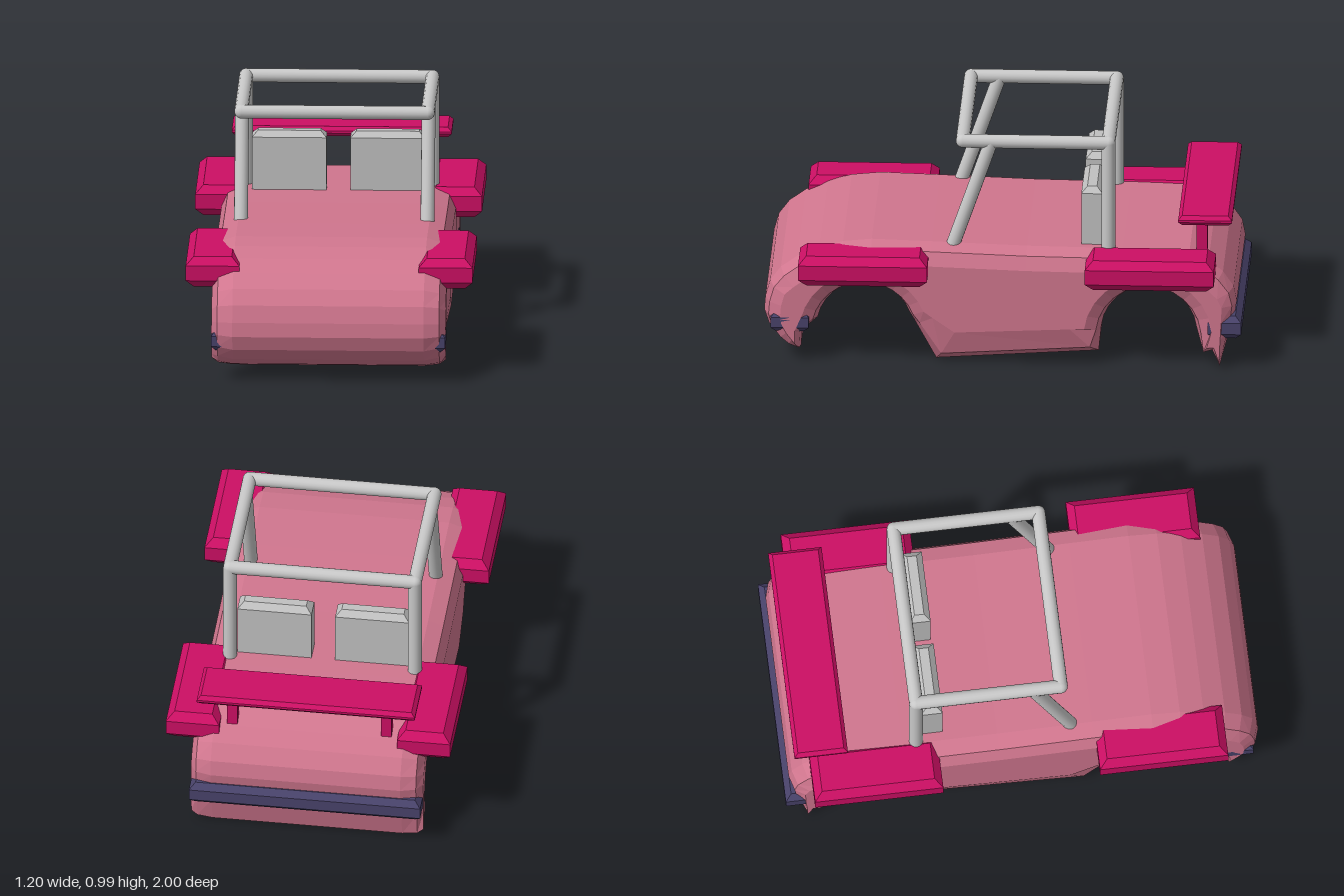
import * as THREE from 'three';

const mat = (name, color) => {
  const m = new THREE.MeshStandardMaterial({ color, flatShading: true });
  m.name = name;
  return m;
};

// Block with a 45 degree chamfer on its top and bottom rims
function chamferBox(x0, x1, y0, y1, z0, z1, b) {
  const s = new THREE.Shape();
  s.moveTo(x0 + b, -z1 + b);
  s.lineTo(x1 - b, -z1 + b);
  s.lineTo(x1 - b, -z0 - b);
  s.lineTo(x0 + b, -z0 - b);
  s.closePath();
  const g = new THREE.ExtrudeGeometry(s, {
    depth: y1 - y0 - 2 * b, bevelEnabled: true, bevelSegments: 1, bevelSize: b, bevelThickness: b,
  });
  return g.rotateX(-Math.PI / 2).translate(0, y0 + b, 0);
}

// Points of a wheel arch, from its rear end over the top to its front end
function arch(cz, cy, r, from, to, n = 12) {
  return Array.from({ length: n + 1 }, (_, i) => {
    const a = from + (to - from) * i / n;
    return [cz + r * Math.cos(a), cy + r * Math.sin(a), 0.07];
  });
}

// Side profile [z, y, inset of the flank] swept across x, rounded in two steps at the flanks
function bodyGeometry() {
  const profile = [
    [0.845, 0.053, 0.03], [0.9, 0.07, 0.04], [0.94, 0.1, 0.05], [0.98, 0.15, 0.06], [1, 0.21, 0.07],
    [0.995, 0.27, 0.07], [0.975, 0.34, 0.07], [0.93, 0.4, 0.08], [0.86, 0.45, 0.08],
    [0.77, 0.49, 0.08], [0.67, 0.518, 0.08], [0.55, 0.53, 0.08], [0.3, 0.523, 0.08],
    [-0.1, 0.51, 0.08], [-0.5, 0.505, 0.08], [-0.78, 0.498, 0.08], [-0.86, 0.46, 0.08],
    [-0.92, 0.41, 0.08], [-0.965, 0.345, 0.07], [-0.978, 0.28, 0.06], [-0.965, 0.2, 0.05],
    [-0.94, 0.12, 0.03], [-0.91, 0.005, 0.02], [-0.875, 0.075, 0.02], [-0.835, 0.06, 0.03],
    ...arch(-0.61, 0.14, 0.2, Math.PI - 0.1, 0.1),
    [-0.4, 0.05, 0.13], [0.28, 0.005, 0.14], [0.37, 0.17, 0.09],
    ...arch(0.58, 0.14, 0.2, Math.PI - 0.35, 0.2), [0.84, 0.13, 0.03],
  ];
  const n = profile.length;
  const normal = (p, q) => {
    const l = Math.hypot(q[0] - p[0], q[1] - p[1]);
    return [-(q[1] - p[1]) / l, (q[0] - p[0]) / l];
  };
  const inward = profile.map((p, i) => {
    const a = normal(profile[(i + n - 1) % n], p), b = normal(p, profile[(i + 1) % n]);
    const s = [a[0] + b[0], a[1] + b[1]], l = Math.hypot(...s) || 1;
    const k = p[2] / (l * Math.max(0.7, l / 2));
    return [s[0] * k, s[1] * k];
  });
  const rings = [[-0.49, 1], [-0.464, 0.293], [-0.4, 0], [0.4, 0], [0.464, 0.293], [0.49, 1]];
  const pos = [], index = [];
  for (const [x, t] of rings) {
    profile.forEach((p, i) => pos.push(x, p[1] + inward[i][1] * t, p[0] + inward[i][0] * t));
  }
  for (let k = 0; k < rings.length - 1; k++) {
    for (let i = 0; i < n; i++) {
      const j = (i + 1) % n, a = k * n + i, b = k * n + j, c = b + n, d = a + n;
      index.push(a, d, c, a, c, b);
    }
  }
  // Flat flanks
  const flank = profile.map((p, i) => new THREE.Vector2(p[0] + inward[i][0], p[1] + inward[i][1]));
  const last = (rings.length - 1) * n;
  for (const [a, b, c] of THREE.ShapeUtils.triangulateShape(flank, [])) {
    index.push(a, b, c, last + a, last + c, last + b);
  }
  const g = new THREE.BufferGeometry();
  g.setAttribute('position', new THREE.Float32BufferAttribute(pos, 3));
  g.setIndex(index);
  const flat = g.toNonIndexed();
  flat.computeVertexNormals();
  return flat;
}

export function createModel() {
  const model = new THREE.Group();
  model.name = 'buggy';
  const pink = mat('body pink', 0xd0768e);
  const magenta = mat('trim magenta', 0xcc0f64);
  const grey = mat('seat grey', 0xc0c0c0);
  const steel = mat('tube grey', 0xc8c8c8);
  steel.flatShading = false;
  const navy = mat('bumper navy', 0x48426a);

  const add = (name, geometry, material) => {
    const m = new THREE.Mesh(geometry, material);
    m.name = name;
    model.add(m);
    return m;
  };

  add('body', bodyGeometry(), pink);

  // Bumpers
  add('frontBumper', chamferBox(-0.49, 0.49, 0.14, 0.225, 0.81, 0.97, 0.02), navy);
  add('rearBumper', chamferBox(-0.488, 0.488, 0.135, 0.235, -1, -0.86, 0.025), navy);

  // Fenders, seats and wing posts, mirrored
  for (const [side, s] of [['left', 1], ['right', -1]]) {
    const block = (name, x0, x1, y0, y1, z0, z1, b, m) =>
      add(side + name, chamferBox(Math.min(s * x0, s * x1), Math.max(s * x0, s * x1), y0, y1, z0, z1, b), m);
    block('FrontFender', 0.375, 0.6, 0.38, 0.51, 0.31, 0.85, 0.033, magenta);
    block('RearFender', 0.375, 0.6, 0.38, 0.51, -0.89, -0.35, 0.033, magenta);
    block('Seat', 0.05, 0.362, 0.46, 0.757, -0.415, -0.325, 0.025, grey);
    const post = add(side + 'WingPost', new THREE.BoxGeometry(0.045, 0.19, 0.045), magenta);
    post.position.set(s * 0.325, 0.55, -0.83);
  }
  add('wing', chamferBox(-0.46, 0.46, 0.63, 0.672, -0.96, -0.735, 0.016), magenta);

  // Roll cage
  const R = 0.029;
  const tube = (name, a, b) => {
    const p = new THREE.Vector3(...a), q = new THREE.Vector3(...b);
    const d = q.clone().sub(p);
    const m = add(name, new THREE.CylinderGeometry(R, R, d.length(), 16), steel);
    m.position.copy(p).lerp(q, 0.5);
    m.quaternion.setFromUnitVectors(new THREE.Vector3(0, 1, 0), d.normalize());
  };
  const X = 0.39, Y = 0.97, F = 0.17, B = -0.44;
  for (const [side, s] of [['left', 1], ['right', -1]]) {
    tube(side + 'RearPost', [s * X, 0.47, B], [s * X, Y, B]);
    tube(side + 'FrontPost', [s * X, 0.48, 0.22], [s * X, Y, 0.05]);
    tube(side + 'RoofRail', [s * X, Y, B], [s * X, Y, F]);
    for (const z of [F, B]) {
      add(side + 'CageJoint', new THREE.SphereGeometry(R, 16, 10), steel).position.set(s * X, Y, z);
    }
  }
  tube('frontCrossbar', [-X, Y, F], [X, Y, F]);
  tube('rearCrossbar', [-X, Y, B], [X, Y, B]);

  return model;
}
